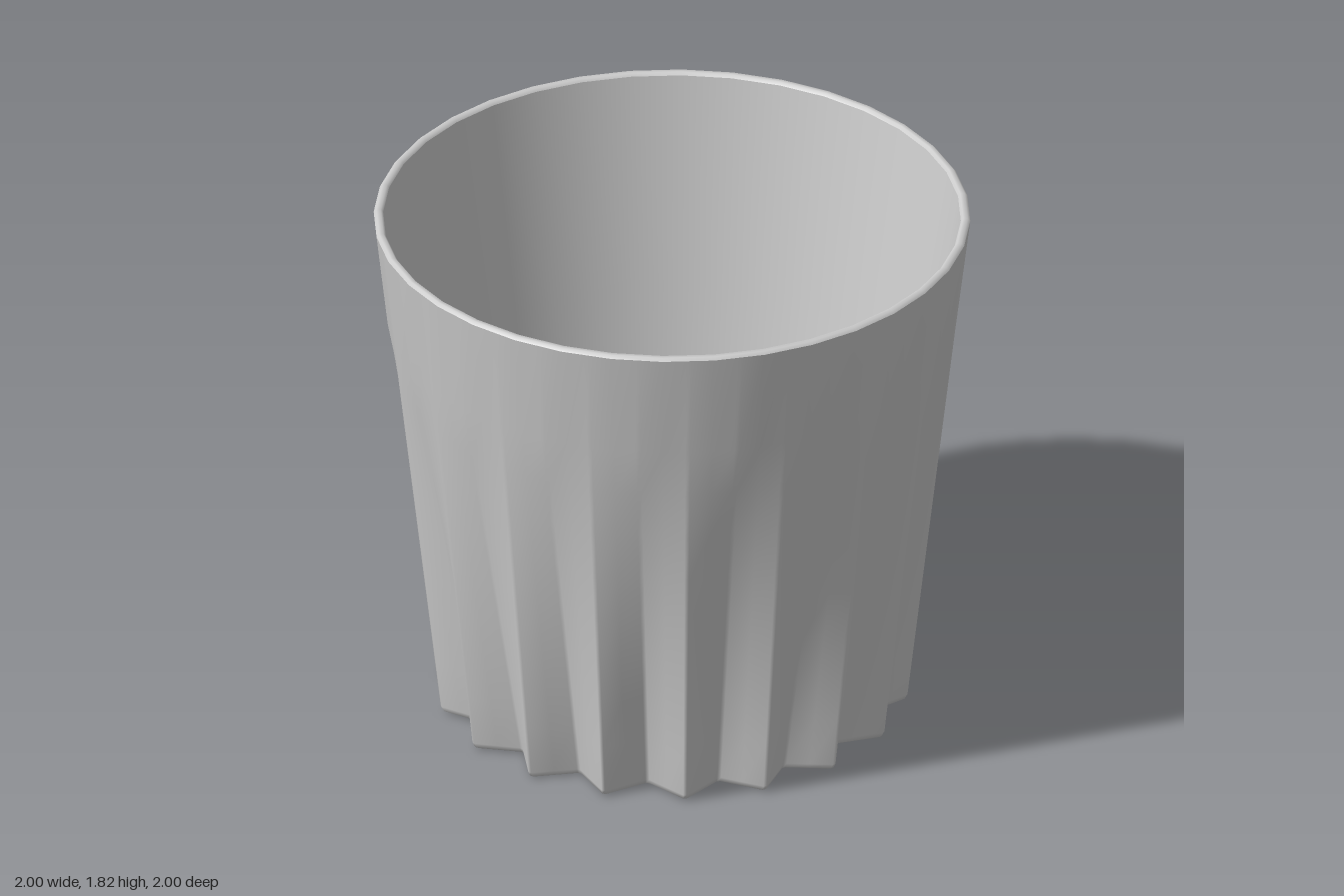
import * as THREE from 'three';

const STEP = Math.PI / 18;      // 36 corners round the cup: 18 ridges, 18 valleys
const FADE = 1.43;              // height where the flutes run out
const RIM = 1.81;

// Point on a 36-sided outline; u counts corners, even = valley, odd = ridge.
function outline(u, y, ridge, valley, shift = 0) {
  const corner = (j) => {
    const r = Math.abs(j) % 2 ? ridge : valley;
    const a = (j + shift) * STEP;
    return new THREE.Vector3(r * Math.sin(a), y, r * Math.cos(a));
  };
  const v = u - shift;
  const k = Math.floor(v);
  return corner(k).lerp(corner(k + 1), v - k);
}

// Columns close to each corner give softly rounded ridges and valleys.
const columns = [];
for (let k = 0; k < 36; k++) for (const f of [0.05, 0.5, 0.95]) columns.push(k + f);

function flutedWall() {
  const rows = [
    { y: 0, ridge: 0.78, valley: 0.668 },
    { y: 0.007, ridge: 0.795, valley: 0.682 },
    { y: 0.025, ridge: 0.804, valley: 0.69 },
  ];
  for (let i = 1; i <= 8; i++) {
    const t = i / 8;
    rows.push({
      y: THREE.MathUtils.lerp(0.025, FADE, t),
      ridge: THREE.MathUtils.lerp(0.804, 0.959, t),
      valley: THREE.MathUtils.lerp(0.69, 0.959, t),
    });
  }
  rows.push({ y: RIM, ridge: 1.004, valley: 1.004, shift: 0.5 });

  const pos = [], index = [], n = columns.length;
  rows.forEach((row, r) => columns.forEach((u, i) => {
    pos.push(...outline(u, row.y, row.ridge, row.valley, row.shift).toArray());
    if (r === 0) return;
    const j = (i + 1) % n, lo = (r - 1) * n, hi = r * n;
    index.push(lo + i, lo + j, hi + j, lo + i, hi + j, hi + i);
  }));
  return buildGeometry(pos, index);
}

function starBase() {
  const pos = [0, 0, 0], index = [], n = columns.length;
  columns.forEach((u, i) => {
    pos.push(...outline(u, 0, 0.78, 0.668).toArray());
    index.push(0, 1 + (i + 1) % n, 1 + i);
  });
  return buildGeometry(pos, index);
}

function buildGeometry(pos, index) {
  const g = new THREE.BufferGeometry();
  g.setAttribute('position', new THREE.Float32BufferAttribute(pos, 3));
  g.setIndex(index);
  g.computeVertexNormals();
  return g;
}

function turned(points) {
  return new THREE.LatheGeometry(points.map(([r, y]) => new THREE.Vector2(r, y)), 36, STEP / 2);
}

export function createModel() {
  const cup = new THREE.Group();
  cup.name = 'cup';
  const material = new THREE.MeshStandardMaterial({ color: 0xcccccc });
  const add = (name, geometry) => {
    const mesh = new THREE.Mesh(geometry, material);
    mesh.name = name;
    cup.add(mesh);
  };

  add('flutedWall', flutedWall());
  add('base', starBase());
  // Narrow lip with chamfered edges
  add('rim', turned([[1.004, RIM], [0.995, 1.82], [0.98, 1.82], [0.972, RIM]]));
  // Plain tapered inside with a rounded floor edge
  add('inside', turned([[0.972, RIM], [0.85, 1.07], [0.725, 0.3], [0.69, 0.15], [0.63, 0.08], [0.4, 0.08], [0, 0.08]]));
  return cup;
}
